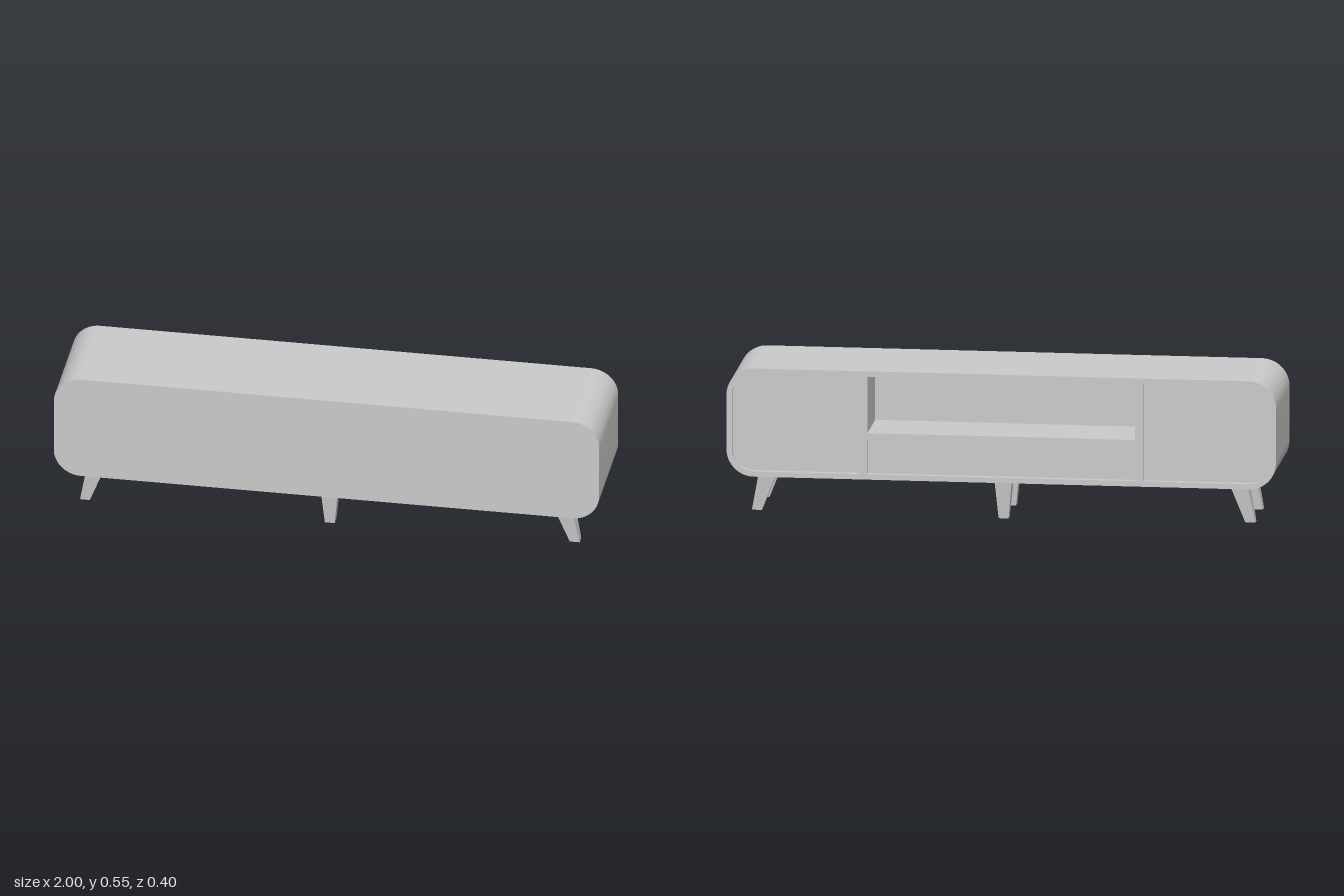
import * as THREE from 'three';
import { toCreasedNormals } from 'three/addons/utils/BufferGeometryUtils.js';

const material = new THREE.MeshStandardMaterial({ color: 0xcccccc });

const HALF_W = 1, HALF_H = 0.2, HALF_D = 0.2, RADIUS = 0.1; // cabinet body
const WALL = 0.02, BASE = 0.145, RECESS = 0.02;
const BAY = 0.487, DIVIDER = 0.03, BAY_BACK = 0.03;         // open middle bay

function addMesh(parent, name, geometry, x = 0, y = 0, z = 0) {
  const mesh = new THREE.Mesh(geometry, material);
  mesh.name = name;
  mesh.position.set(x, y, z);
  parent.add(mesh);
  return mesh;
}

// Box given by its limits on each axis
function addBox(parent, name, [x0, x1], [y0, y1], [z0, z1]) {
  return addMesh(parent, name, new THREE.BoxGeometry(x1 - x0, y1 - y0, z1 - z0),
    (x0 + x1) / 2, (y0 + y1) / 2, (z0 + z1) / 2);
}

// Rectangle from x0 to x1 with rounded right corners, and left ones of radius rl
function roundedOutline(shape, x0, x1, h, r, rl) {
  const P = Math.PI;
  shape.moveTo(x0 + rl, -h);
  shape.absarc(x1 - r, -h + r, r, -P / 2, 0);
  shape.absarc(x1 - r, h - r, r, 0, P / 2);
  if (rl > 0) {
    shape.absarc(x0 + rl, h - rl, rl, P / 2, P);
    shape.absarc(x0 + rl, -h + rl, rl, P, P * 1.5);
  } else {
    shape.lineTo(x0, h);
    shape.lineTo(x0, -h);
  }
  return shape;
}

function extrude(shape, z0, z1) {
  const geometry = new THREE.ExtrudeGeometry(shape, {
    depth: z1 - z0, bevelEnabled: false, curveSegments: 16,
  });
  geometry.translate(0, 0, z0);
  return toCreasedNormals(geometry, 0.5);
}

// Square tapered leg whose foot is shifted sideways by splay
function legGeometry(height, splay) {
  const geometry = new THREE.BoxGeometry(1, height, 1);
  const p = geometry.attributes.position;
  for (let i = 0; i < p.count; i++) {
    const foot = p.getY(i) < 0;
    const width = foot ? 0.036 : 0.064;
    p.setXYZ(i, p.getX(i) * width + (foot ? splay : 0), p.getY(i), p.getZ(i) * width);
  }
  geometry.computeVertexNormals();
  return geometry;
}

export function createModel() {
  const model = new THREE.Group();
  model.name = 'lowCabinet';

  const body = new THREE.Group();
  body.name = 'cabinetBody';
  body.position.y = BASE + HALF_H;
  model.add(body);

  // Rounded shell, open at -z and closed by a plain panel at +z
  const outline = () => roundedOutline(new THREE.Shape(), -HALF_W, HALF_W, HALF_H, RADIUS, RADIUS);
  const innerH = HALF_H - WALL, innerW = HALF_W - WALL, innerR = RADIUS - WALL;
  const ring = outline();
  ring.holes.push(roundedOutline(new THREE.Path(), -innerW, innerW, innerH, innerR, innerR));
  addMesh(body, 'shell', extrude(ring, -HALF_D, HALF_D - WALL));
  addMesh(body, 'closedPanel', extrude(outline(), HALF_D - WALL, HALF_D));

  // Dividers and recessed doors at both ends
  const doorShape = roundedOutline(new THREE.Shape(), BAY + DIVIDER, innerW, innerH, innerR, 0);
  const doorGeometry = extrude(doorShape, -HALF_D + RECESS, -HALF_D + RECESS + 0.02);
  for (const [side, turn] of [['left', 0], ['right', Math.PI]]) {
    const end = new THREE.Group();
    end.name = side + 'End';
    end.rotation.z = turn;
    body.add(end);
    addBox(end, side + 'Divider', [BAY, BAY + DIVIDER], [-innerH, innerH], [-HALF_D, HALF_D - WALL]);
    addMesh(end, side + 'Door', doorGeometry);
  }

  // Open bay with a shelf above a wide drawer
  const shelfTop = -0.028, shelfBottom = -0.054;
  addBox(body, 'bayBackPanel', [-BAY, BAY], [-innerH, innerH], [BAY_BACK, BAY_BACK + 0.02]);
  addBox(body, 'shelf', [-BAY, BAY], [shelfBottom, shelfTop], [-HALF_D, BAY_BACK]);
  addBox(body, 'drawerFront', [-BAY, BAY], [-innerH, shelfBottom],
    [-HALF_D + RECESS, -HALF_D + RECESS + 0.02]);

  // Splayed end legs and straight middle legs, in two rows
  for (const z of [-0.1125, 0.1125]) {
    for (const side of [-1, 0, 1]) {
      const height = side ? BASE - 0.008 : BASE;
      addMesh(model, side ? 'endLeg' : 'middleLeg', legGeometry(height, side * 0.04),
        side * 0.858, BASE - height / 2, z);
    }
  }
  return model;
}
